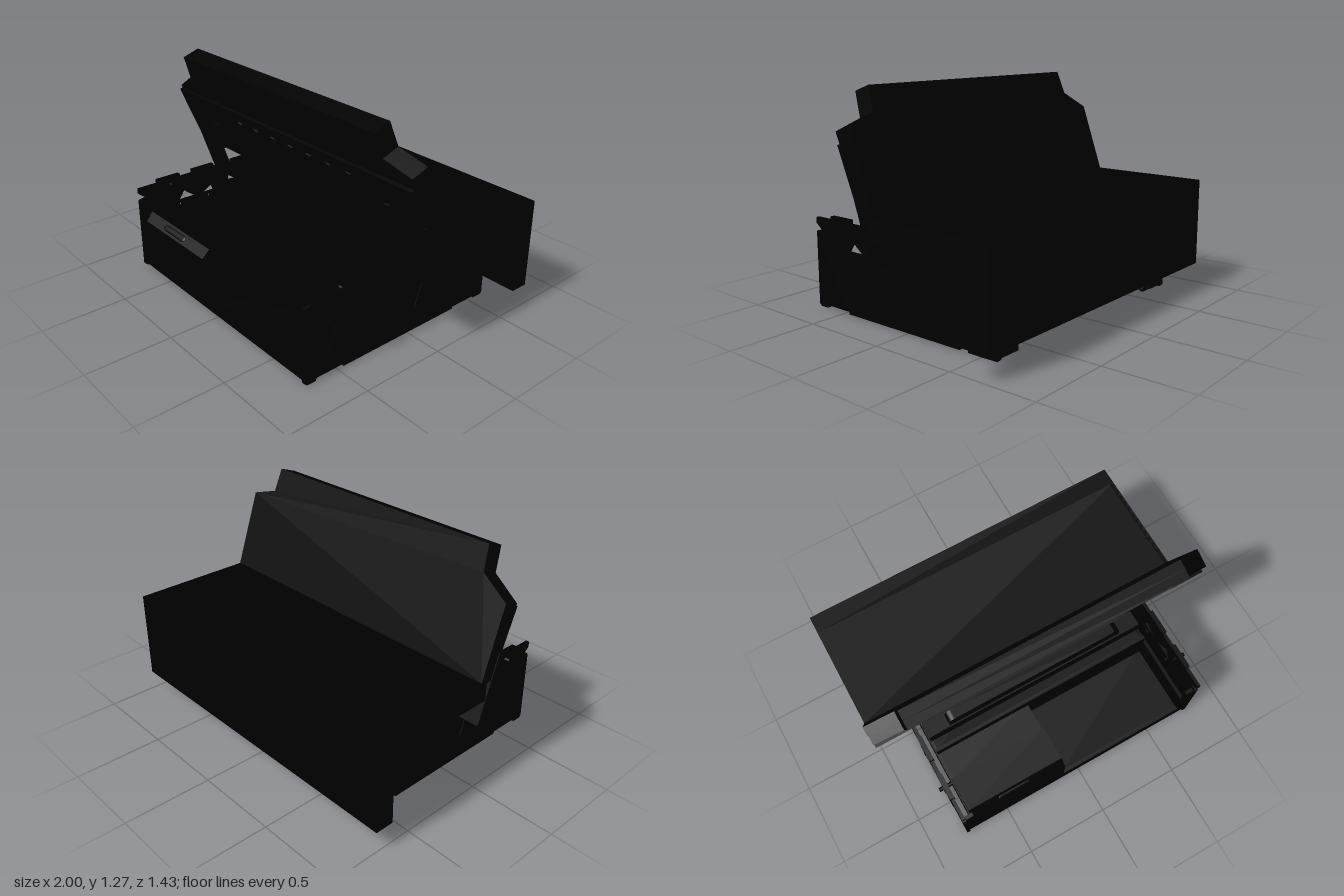
import * as THREE from 'three';

export function createModel() {
  const root = new THREE.Group();
  const black = new THREE.MeshStandardMaterial({ color: 0x000000 });
  black.name = 'black plastic';

  function add(name, geometry, parent = root) {
    const mesh = new THREE.Mesh(geometry, black);
    mesh.name = name;
    parent.add(mesh);
    return mesh;
  }
  // box given by its minimum and maximum on each axis
  function box(name, x0, x1, y0, y1, z0, z1, parent = root) {
    const g = new THREE.BoxGeometry(x1 - x0, y1 - y0, z1 - z0);
    g.translate((x0 + x1) / 2, (y0 + y1) / 2, (z0 + z1) / 2);
    return add(name, g, parent);
  }
  const outline = (pts) => new THREE.Shape(pts.map(([a, b]) => new THREE.Vector2(a, b)));
  // profile of [z, y] points, extruded to a width centred on x
  function sideProfile(name, pts, x, width, parent = root, holes = []) {
    const shape = outline(pts);
    holes.forEach((h) => shape.holes.push(outline(h)));
    const g = new THREE.ExtrudeGeometry(shape, { depth: width, bevelEnabled: false });
    g.rotateY(-Math.PI / 2).translate(x + width / 2, 0, 0);
    return add(name, g, parent);
  }
  function rod(name, x0, x1, y, z, r) {
    const g = new THREE.CylinderGeometry(r, r, x1 - x0, 20);
    g.rotateZ(Math.PI / 2).translate((x0 + x1) / 2, y, z);
    return add(name, g);
  }

  // rear hood: hanging back slab, top plate and shallow sides
  const hood = new THREE.Group();
  hood.name = 'rearHood';
  root.add(hood);
  box('backSlab', -1, 0.995, 0.12, 0.645, -0.72, -0.612, hood);
  box('hoodTop', -1, 0.995, 0.615, 0.645, -0.612, 0, hood);
  for (const s of [-1, 1]) {
    sideProfile('hoodSide', [[-0.612, 0.52], [0.05, 0.52], [0.05, 0.63], [0, 0.645], [-0.612, 0.645]],
      s * 0.982, 0.026, hood);
  }

  // raised lid, tilted forwards about the hood's front edge
  const lid = new THREE.Group();
  lid.name = 'raisedLid';
  lid.position.set(0, 0.645, 0);
  lid.rotation.x = 0.337;
  root.add(lid);
  const panel = outline([[-1, 0], [0.995, 0], [0.995, 0.47], [0.82, 0.524], [0.805, 0.667],
    [-0.81, 0.667], [-0.825, 0.524], [-1, 0.42]]);
  add('lidPanel', new THREE.ExtrudeGeometry(panel, { depth: 0.055, bevelEnabled: false }), lid);
  const head = outline([[-0.99, 0.39], [0.99, 0.39], [0.995, 0.47], [0.82, 0.524], [0.805, 0.667],
    [-0.81, 0.667], [-0.825, 0.524], [-0.995, 0.42]]);
  const headGeo = new THREE.ExtrudeGeometry(head, { depth: 0.051, bevelEnabled: false });
  add('lidHead', headGeo.translate(0, 0, 0.055), lid);
  const wedge = [[0.05, 0], [0.1, 0], [0.126, 0.405], [0.05, 0.405]];
  for (const s of [-1, 1]) sideProfile('lidCheek', wedge, s * 0.89, 0.2, lid);
  box('lidCrossBar', -0.8, 0.8, 0.345, 0.405, 0.05, 0.124, lid);
  box('lidLowerPanel', -0.79, 0.79, 0, 0.345, 0.05, 0.085, lid);
  // paper guide ribs with rounded tops, reaching below the lid
  for (let i = -3; i <= 3; i++) {
    const x = i * 0.157;
    const rib = new THREE.Shape();
    rib.moveTo(x - 0.042, -0.11);
    rib.lineTo(x + 0.042, -0.11);
    rib.lineTo(x + 0.042, 0.265);
    rib.absarc(x, 0.265, 0.042, 0, Math.PI, false);
    const g = new THREE.ExtrudeGeometry(rib, { depth: 0.05, bevelEnabled: false });
    add('guideRib', g.translate(0, 0, 0.05), lid);
  }
  // thin flaps hanging below the lid at each side, and latches
  for (const s of [-1, 1]) {
    box('lidFlap', s * 0.89 - 0.105, s * 0.89 + 0.105, -0.245, 0.16, 0.09, 0.102, lid);
    box('lidLatch', s * 0.75 - 0.025, s * 0.75 + 0.025, 0.05, 0.2, 0.05, 0.1, lid);
  }

  // pierced side plates, with covers and rail caps
  const plate = [[0.715, 0.015], [0.715, 0.44], [0.67, 0.45], [0.715, 0.485], [0.715, 0.518], [0.065, 0.518],
    [0.07, 0.45], [0.085, 0.4], [0.02, 0.385], [0.035, 0.44], [0.05, 0.47], [0.05, 0.53], [-0.604, 0.53],
    [-0.604, 0.44], [-0.612, 0.44], [-0.612, 0.015], [-0.6, 0.004], [-0.54, 0.004], [-0.53, 0.016],
    [-0.36, 0.016], [-0.36, 0.004], [0.46, 0.004], [0.46, 0.018], [0.64, 0.018], [0.645, 0.002], [0.7, 0.002]];
  const holes = [
    [[0.45, 0.36], [0.41, 0.42], [0.33, 0.36]],
    [[0.29, 0.36], [0.21, 0.405], [0.19, 0.36]],
    [[0.445, 0.29], [0.445, 0.345], [0.428, 0.345], [0.428, 0.29]],
    [[0.235, 0.29], [0.235, 0.345], [0.218, 0.345], [0.218, 0.29]],
    [[-0.09, 0.355], [-0.11, 0.37], [-0.16, 0.355]],
    [[-0.24, 0.355], [-0.295, 0.4], [-0.34, 0.355]],
    [[-0.185, 0.29], [-0.185, 0.345], [-0.2, 0.345], [-0.2, 0.29]],
    [[-0.395, 0.29], [-0.395, 0.345], [-0.41, 0.345], [-0.41, 0.29]],
    [[-0.53, 0.15], [-0.53, 0.162], [-0.56, 0.162], [-0.56, 0.15]],
  ];
  for (const s of [-1, 1]) {
    sideProfile('sidePlate', plate, s * 0.77, 0.02, root, holes);
    for (const z of [0.35, -0.255]) {
      sideProfile('sideCover', [[z + 0.21, 0.15], [z + 0.165, 0.28], [z - 0.165, 0.28], [z - 0.21, 0.15]],
        s * 0.78, 0.008);
    }
    for (const z of [0.51, 0.265]) {
      box('railCap', s * 0.77 - 0.014, s * 0.77 + 0.014, 0.5, 0.54, z - 0.077, z + 0.077);
      box('railPost', s * 0.78 - 0.008, s * 0.78 + 0.008, 0.43, 0.52, z - 0.012, z + 0.012);
    }
    rod('railPin', s * 0.77 - 0.04, s * 0.77 + 0.04, 0.49, 0.5, 0.012);
    rod('gear', s * 0.735 - 0.015, s * 0.735 + 0.015, 0.46, -0.1, 0.05);
    // rounded feet along the bottom
    for (const z of [0.67, -0.57]) {
      const g = new THREE.CapsuleGeometry(0.02, 0.1, 4, 12);
      g.rotateZ(Math.PI / 2).translate(s * 0.66, 0.021, z);
      add('foot', g);
    }
  }

  // chassis tub: floor, inner walls and raised rear wall
  box('floor', -0.725, 0.725, 0.02, 0.05, -0.5, 0.705);
  for (const s of [-1, 1]) {
    box('innerWall', s * 0.717 - 0.01, s * 0.717 + 0.01, 0.03, 0.285, -0.6, 0.7);
    box('cornerPost', s * 0.735 - 0.025, s * 0.735 + 0.025, 0.02, 0.42, 0.685, 0.707);
    box('rearTie', s * 0.7 - 0.07, s * 0.7 + 0.07, 0.02, 0.1, -0.61, -0.5);
  }
  box('rearWall', -0.76, 0.76, 0.1, 0.43, -0.61, -0.59);
  box('rearDeck', -0.72, 0.72, 0.05, 0.28, -0.5, 0.25);

  // front: closed block with a sloped edge on one side, open tray on the other
  sideProfile('frontBlock', [[0.707, 0.02], [0.707, 0.325], [0.66, 0.37], [0.45, 0.358], [0.45, 0.285],
    [0.25, 0.285], [0.25, 0.02]], -0.415, 0.61);
  box('trayLip', -0.11, 0.72, 0.02, 0.12, 0.685, 0.707);
  box('trayFloor', -0.11, 0.71, 0.05, 0.11, 0.25, 0.69);
  box('trayBack', -0.72, 0.71, 0.1, 0.355, 0.25, 0.27);
  const oval = new THREE.CapsuleGeometry(0.018, 0.18, 4, 14);
  oval.rotateZ(Math.PI / 2).scale(1, 1, 0.3).rotateX(-0.8).translate(-0.43, 0.347, 0.684);
  add('blockGrip', oval);

  // rounded guide bar and rollers across the machine
  const bar = new THREE.Shape();
  bar.moveTo(-0.58, 0.37);
  bar.lineTo(0.58, 0.37);
  bar.lineTo(0.58, 0.41);
  bar.absarc(0.54, 0.41, 0.04, 0, Math.PI / 2, false);
  bar.absarc(-0.54, 0.41, 0.04, Math.PI / 2, Math.PI, false);
  const barGeo = new THREE.ExtrudeGeometry(bar, { depth: 0.06, bevelEnabled: false });
  add('guideBar', barGeo.translate(0, 0, 0.11));
  box('guideBarBase', -0.72, 0.72, 0.28, 0.37, 0.08, 0.18);
  rod('rearRoller', -0.76, 0.76, 0.455, -0.45, 0.035);
  box('crossGuide', -0.76, 0.76, 0.42, 0.5, -0.22, -0.02);

  return root;
}
